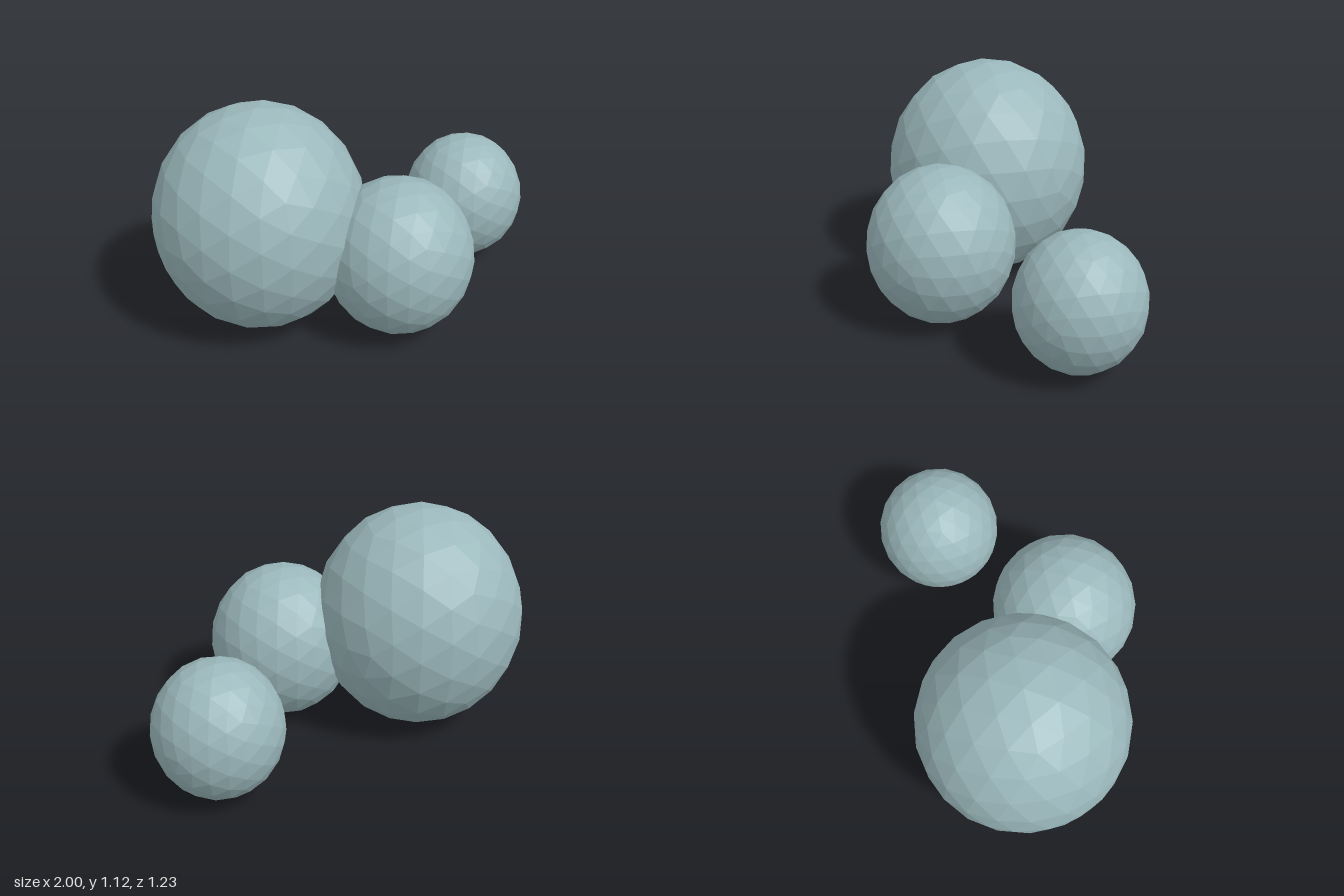
import * as THREE from 'three';

export function createModel() {
  const model = new THREE.Group();
  model.name = 'boulders';

  const stone = new THREE.MeshStandardMaterial({ color: 0x9bb8bc, flatShading: true });
  stone.name = 'blue grey stone';

  // Faceted boulder, slightly taller than it is wide
  function addBoulder(name, radius, x, y, z) {
    const geometry = new THREE.IcosahedronGeometry(radius, 3);
    geometry.scale(1, 1.083, 1);
    geometry.computeVertexNormals(); // unshared corners, so each facet stays flat
    const boulder = new THREE.Mesh(geometry, stone);
    boulder.name = name;
    boulder.position.set(x, y, z);
    model.add(boulder);
  }

  addBoulder('largeBoulder', 0.516, -0.484, 0.562, -0.1);
  addBoulder('mediumBoulder', 0.361, 0.097, 0.408, 0.25);
  addBoulder('smallBoulder', 0.307, 0.692, 0.353, -0.272);

  return model;
}
